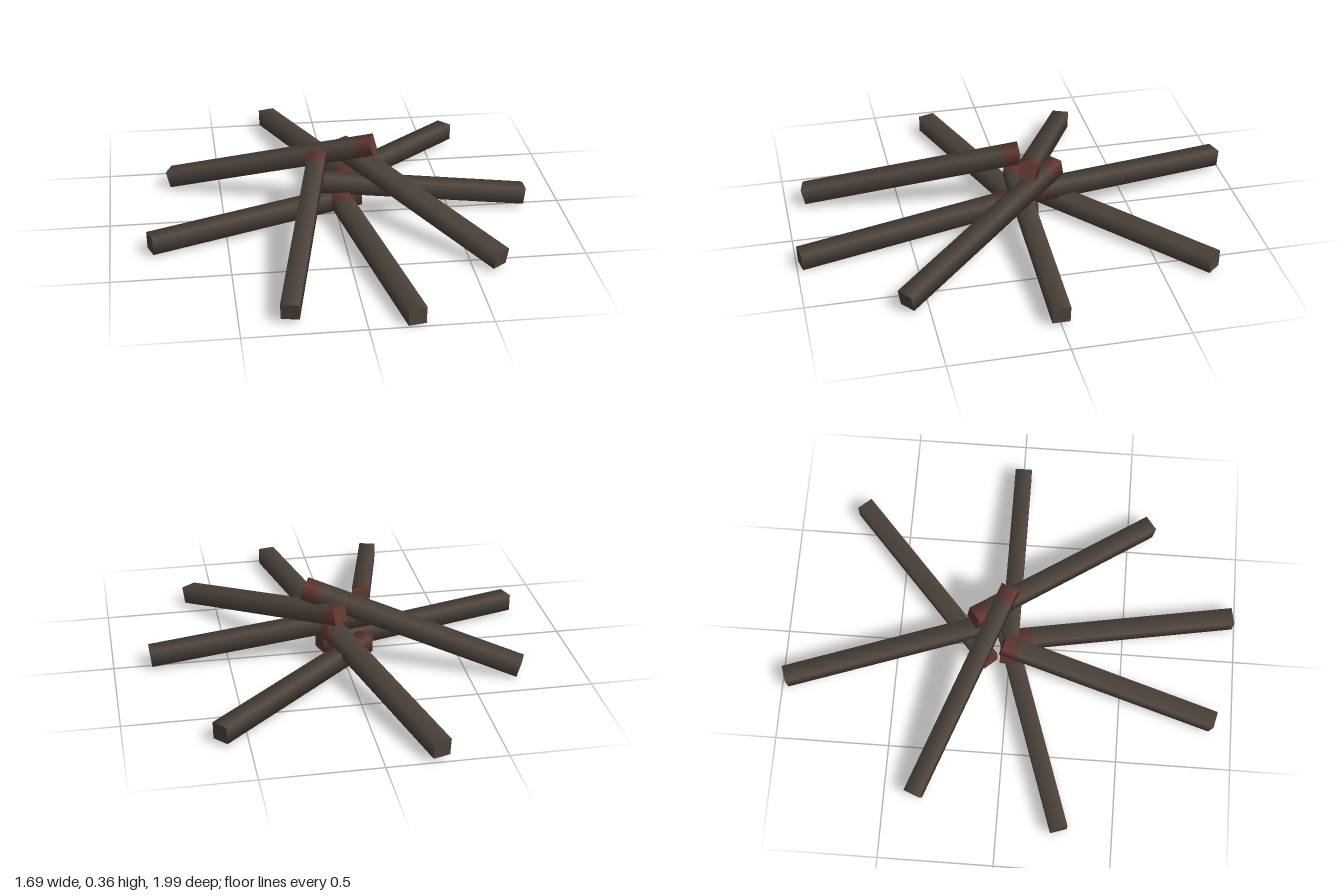
import * as THREE from 'three';

const RADIUS = 0.053; // corner radius of the square section
const EMBER = 0.065;  // length of the charred red tip

// Square, soft-shaded beam running along +z from z = 0
function beam(length) {
  const geometry = new THREE.CylinderGeometry(RADIUS, RADIUS, length, 4);
  geometry.rotateY(Math.PI / 4);
  geometry.rotateX(Math.PI / 2);
  geometry.translate(0, 0, length / 2);
  return geometry;
}

export function createModel() {
  const bark = new THREE.MeshStandardMaterial({ color: 0x51463e });
  bark.name = 'charred bark';
  const ember = new THREE.MeshStandardMaterial({ color: 0x633a31 });
  ember.name = 'ember red';

  const model = new THREE.Group();
  model.name = 'campfire logs';

  // Each log: outer end on the ground, inner end on the pile
  const logs = [
    [[-0.23, 0.055, -0.985], [0.06, 0.155, -0.06]],
    [[0.615, 0.057, -0.715], [-0.1, 0.08, -0.08]],
    [[-0.72, 0.05, -0.37], [0.16, 0.325, -0.01]],
    [[0.84, 0.053, 0], [-0.12, 0.17, 0]],
    [[0.612, 0.055, 0.595], [0.03, 0.26, -0.165]],
    [[-0.83, 0.05, 0.27], [0.1, 0.075, -0.04]],
    [[-0.3, 0.055, 0.915], [-0.085, 0.27, -0.025]],
    [[0.195, 0.041, 0.985], [0.01, 0.085, 0.03]],
  ];

  logs.forEach(([outer, inner], i) => {
    const start = new THREE.Vector3(...outer);
    const end = new THREE.Vector3(...inner);
    const length = start.distanceTo(end);

    const log = new THREE.Group();
    log.name = `log${i + 1}`;
    const body = new THREE.Mesh(beam(length - EMBER), bark);
    body.name = 'logBody';
    const tip = new THREE.Mesh(beam(EMBER), ember);
    tip.name = 'emberTip';
    tip.position.z = length - EMBER;

    log.add(body, tip);
    log.position.copy(start);
    log.lookAt(end);
    model.add(log);
  });

  return model;
}
